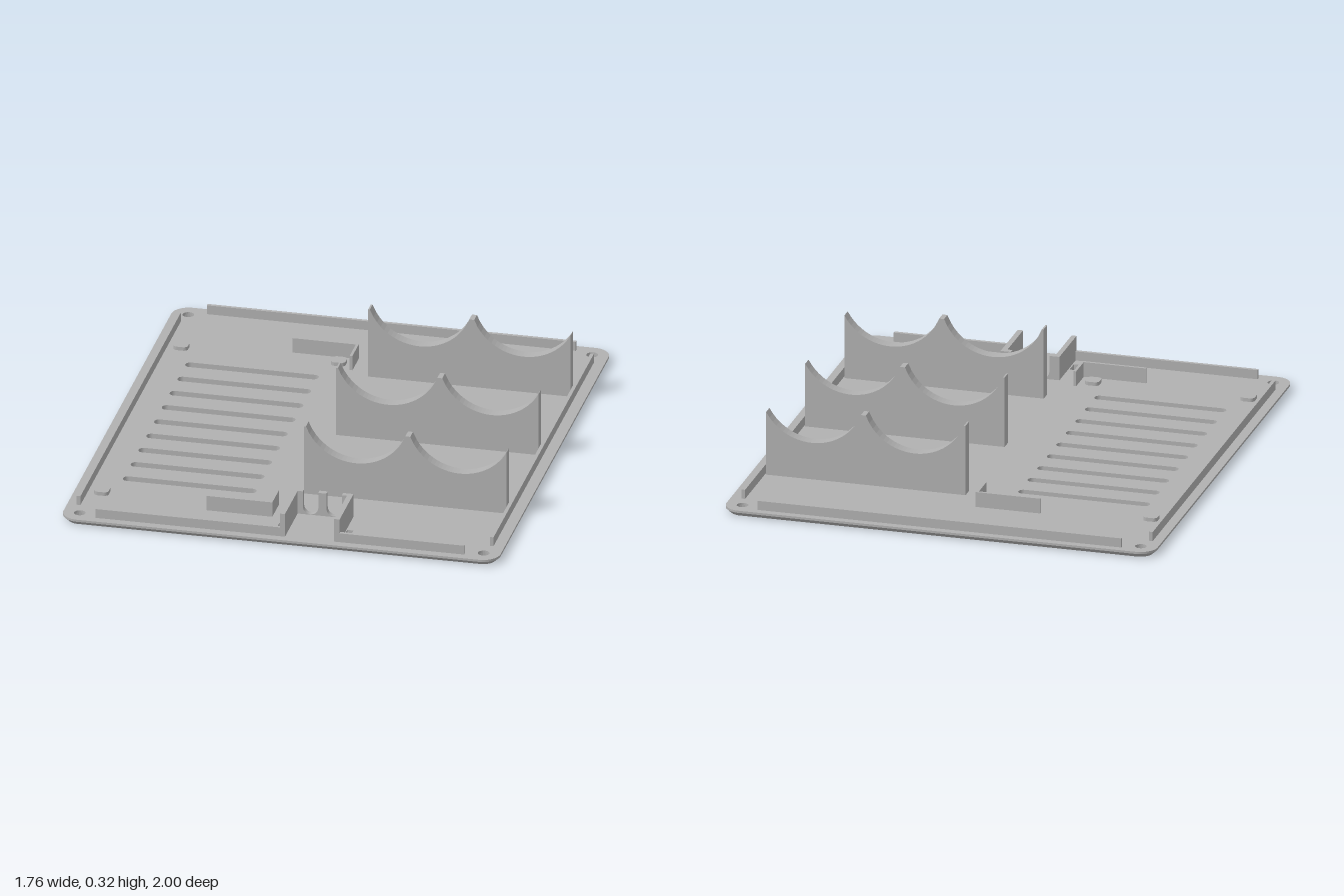
import * as THREE from 'three';

const TOP = 0.027; // top of the base plate
const SINK = 0.022; // upright parts start just inside the plate

// Rounded rectangle path centred on (cx, cy)
function roundRect(path, cx, cy, w, h, r) {
  const x = w / 2 - r, y = h / 2 - r;
  path.absarc(cx + x, cy + y, r, 0, Math.PI / 2);
  path.absarc(cx - x, cy + y, r, Math.PI / 2, Math.PI);
  path.absarc(cx - x, cy - y, r, Math.PI, Math.PI * 1.5);
  path.absarc(cx + x, cy - y, r, Math.PI * 1.5, Math.PI * 2);
  path.closePath();
  return path;
}

// Lay a plan shape (x, z) flat between two heights
function slab(shape, y0, y1) {
  const g = new THREE.ExtrudeGeometry(shape, { depth: y1 - y0, bevelEnabled: false, curveSegments: 10 });
  g.rotateX(Math.PI / 2);
  g.translate(0, y1, 0);
  return g;
}

// Plate outline with screw holes, vents and latch openings
function plateShape(holeRadius) {
  const s = roundRect(new THREE.Shape(), 0, 0, 1.76, 2, 0.07);
  for (const x of [-0.813, 0.813]) for (const z of [-0.935, 0.935]) {
    s.holes.push(new THREE.Path().absarc(x, z, holeRadius, 0, Math.PI * 2));
  }
  for (let i = 0; i < 9; i++) {
    s.holes.push(roundRect(new THREE.Path(), -0.452, -0.488 + i * 0.1343, 0.536, 0.042, 0.019));
  }
  for (const x of [-0.018, 0.256]) {
    s.holes.push(roundRect(new THREE.Path(), x, 0.88, 0.025, 0.06, 0.001));
  }
  return s;
}

export function createModel() {
  const model = new THREE.Group();
  model.name = 'enclosureBase';
  const grey = new THREE.MeshStandardMaterial({ color: 0xb0b0b0 });
  grey.name = 'grey plastic';

  const add = (name, geometry) => {
    const m = new THREE.Mesh(geometry, grey);
    m.name = name;
    model.add(m);
    return m;
  };
  // Upright wall given by its plan limits and top height
  const wall = (name, x0, x1, z0, z1, top) => {
    const g = new THREE.BoxGeometry(x1 - x0, top - SINK, z1 - z0);
    g.translate((x0 + x1) / 2, (top + SINK) / 2, (z0 + z1) / 2);
    return add(name, g);
  };

  // Base plate: straight upper layer, chamfered lower layer with wider screw recesses
  add('plateTop', slab(plateShape(0.023), 0.018, TOP));
  const lower = slab(plateShape(0.033), 0, 0.018);
  const p = lower.attributes.position;
  for (let i = 0; i < p.count; i++) {
    if (p.getY(i) > 0.009) continue;
    const x = p.getX(i), z = p.getZ(i);
    const cx = THREE.MathUtils.clamp(x, -0.81, 0.81), cz = THREE.MathUtils.clamp(z, -0.93, 0.93);
    const d = Math.hypot(x - cx, z - cz);
    if (d > 0.069) p.setXYZ(i, cx + (x - cx) * 0.72, 0, cz + (z - cz) * 0.72);
  }
  lower.computeVertexNormals();
  add('plateBottom', lower);

  // Locating lips along the four edges
  wall('leftLip', 0.822, 0.836, -0.868, 0.865, 0.065);
  wall('rightLip', -0.842, -0.827, -0.868, 0.865, 0.065);
  wall('backLip', -0.743, 0.742, -0.97, -0.956, 0.065);
  wall('frontLipRight', -0.743, 0.005, 0.952, 0.966, 0.065);
  wall('frontLipLeft', 0.235, 0.742, 0.952, 0.966, 0.065);

  // Double cradles with two circular scoops
  const R = 0.214, CY = 0.394;
  const cradle = new THREE.Shape();
  cradle.moveTo(0.003, SINK);
  cradle.lineTo(0.817, SINK);
  const scoop = (cx, x0, x1) => {
    for (let i = 0; i <= 28; i++) {
      const x = x1 + (x0 - x1) * i / 28;
      cradle.lineTo(x, CY - Math.sqrt(R * R - (x - cx) ** 2));
    }
  };
  scoop(0.63, 0.43, 0.817);
  scoop(0.21, 0.01, 0.41);
  cradle.lineTo(0.003, 0.318);
  cradle.closePath();
  for (const z of [-0.565, -0.014, 0.538]) {
    const g = new THREE.ExtrudeGeometry(cradle, { depth: 0.047, bevelEnabled: false });
    g.translate(0, 0, z - 0.0235);
    add('cradle', g);
  }

  // Corner brackets
  wall('backBracket', -0.335, -0.07, -0.7, -0.689, 0.089);
  wall('backBracketLeg', -0.081, -0.07, -0.689, -0.583, 0.089);
  wall('frontBracket', -0.335, -0.07, 0.788, 0.799, 0.089);
  wall('frontBracketLeg', -0.081, -0.07, 0.682, 0.788, 0.089);

  // Support pads
  for (const x of [-0.77, -0.136]) for (const z of [-0.636, 0.733]) {
    add('supportPad', slab(roundRect(new THREE.Shape(), x, z, 0.058, 0.058, 0.017), SINK, 0.042));
  }

  // Cable bay: two side walls and a back wall with two U notches
  wall('baySideRight', 0, 0.02, 0.74, 0.966, 0.125);
  wall('baySideLeft', 0.218, 0.24, 0.74, 0.966, 0.125);
  const notched = new THREE.Shape();
  notched.moveTo(0, SINK);
  notched.lineTo(0.24, SINK);
  notched.lineTo(0.24, 0.125);
  for (const cx of [0.167, 0.072]) {
    notched.lineTo(cx + 0.031, 0.125);
    notched.absarc(cx, 0.06, 0.031, 0, Math.PI, true);
    notched.lineTo(cx - 0.031, 0.125);
  }
  notched.lineTo(0, 0.125);
  notched.closePath();
  const back = new THREE.ExtrudeGeometry(notched, { depth: 0.022, bevelEnabled: false });
  back.translate(0, 0, 0.725);
  add('bayBackWall', back);

  return model;
}
